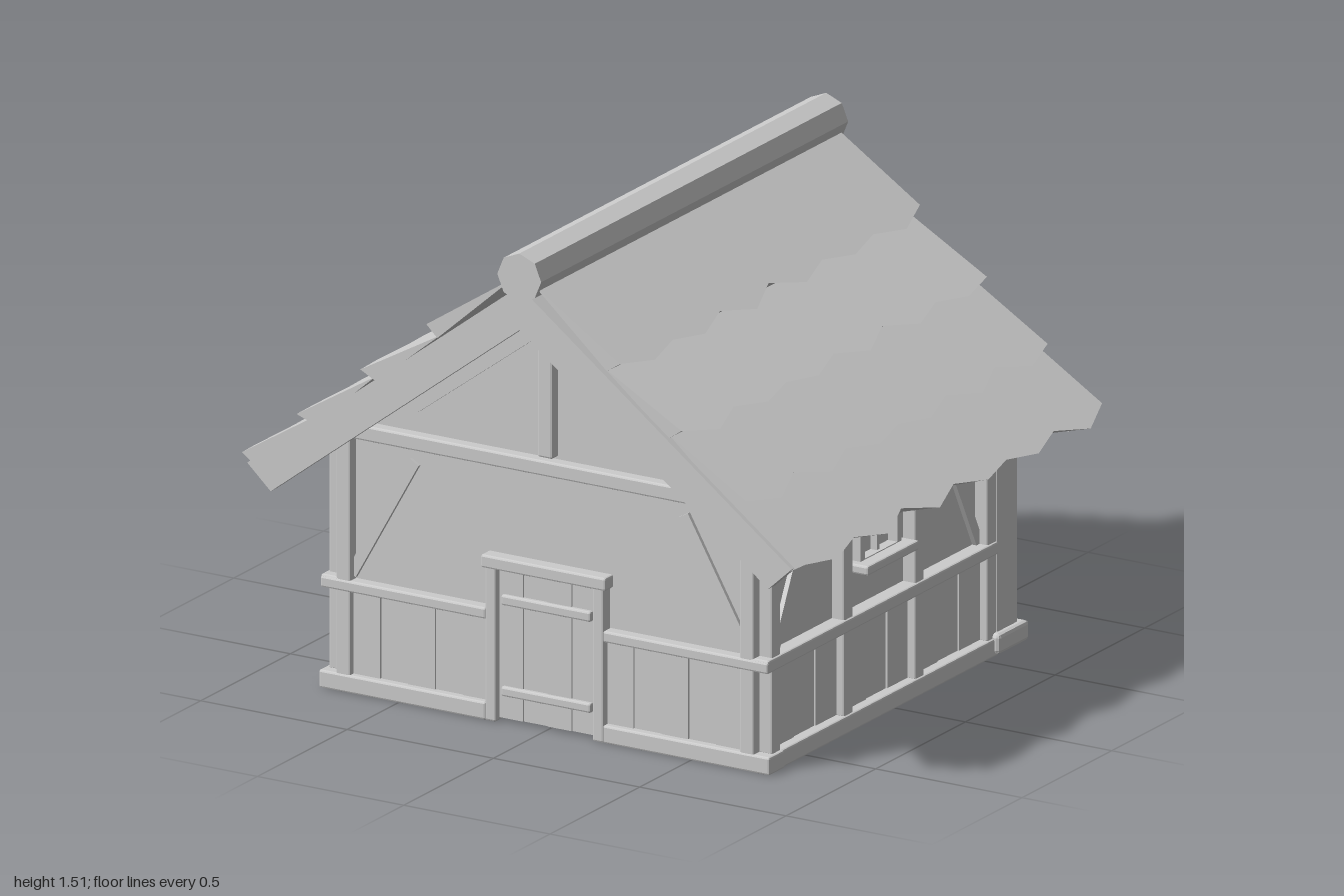
import * as THREE from 'three';
import { RoundedBoxGeometry } from 'three/addons/geometries/RoundedBoxGeometry.js';

const SLOPE = 0.76;

export function createModel() {
  const model = new THREE.Group();
  model.name = 'timberShed';
  const stone = new THREE.MeshStandardMaterial({ color: 0xcccccc, flatShading: true, side: THREE.DoubleSide });
  stone.name = 'pale grey';

  const add = (name, geometry, parent = model) => {
    const mesh = new THREE.Mesh(geometry, stone);
    mesh.name = name;
    parent.add(mesh);
    return mesh;
  };
  // Box given by its limits, with a small bevel
  const beam = (name, x0, x1, y0, y1, z0, z1, parent = model, bevel = 0.006) => {
    const w = x1 - x0, h = y1 - y0, d = z1 - z0;
    const geo = bevel ? new RoundedBoxGeometry(w, h, d, 1, bevel) : new THREE.BoxGeometry(w, h, d);
    const mesh = add(name, geo, parent);
    mesh.position.set((x0 + x1) / 2, (y0 + y1) / 2, (z0 + z1) / 2);
    return mesh;
  };
  // Slanted brace in the x-y plane
  const braceXY = (name, ax, ay, bx, by, width, z0, z1) => {
    const mesh = add(name, new THREE.BoxGeometry(width, Math.hypot(bx - ax, by - ay), z1 - z0));
    mesh.position.set((ax + bx) / 2, (ay + by) / 2, (z0 + z1) / 2);
    mesh.rotation.z = Math.atan2(ax - bx, by - ay);
  };
  // Slanted brace in the z-y plane
  const braceZY = (name, az, ay, bz, by, width, x0, x1, parent) => {
    const mesh = add(name, new THREE.BoxGeometry(x1 - x0, Math.hypot(bz - az, by - ay), width), parent);
    mesh.position.set((x0 + x1) / 2, (ay + by) / 2, (az + bz) / 2);
    mesh.rotation.x = Math.atan2(bz - az, by - ay);
  };
  const extrude = (name, points, z0, z1) => {
    const shape = new THREE.Shape(points.map(([x, y]) => new THREE.Vector2(x, y)));
    const geo = new THREE.ExtrudeGeometry(shape, { depth: z1 - z0, bevelEnabled: false });
    geo.translate(0, 0, z0);
    return add(name, geo);
  };

  // Front wall with gable
  extrude('frontWall', [[-0.715, 0.01], [0.715, 0.01], [0.715, 0.79], [0, 1.33], [-0.715, 0.79]], 0.62, 0.68);
  for (const s of [-1, 1]) {
    const span = (name, a, b, y0, y1, z0, z1, bevel) =>
      beam(name, Math.min(s * a, s * b), Math.max(s * a, s * b), y0, y1, z0, z1, model, bevel);
    span('frontSill', 0.2, 0.77, 0, 0.055, 0.63, 0.718);
    span('frontRail', 0.2, 0.765, 0.31, 0.345, 0.67, 0.718);
    span('frontCornerPost', 0.665, 0.715, 0.01, 0.785, 0.67, 0.714);
    span('doorPost', 0.165, 0.203, 0, 0.48, 0.67, 0.718);
    for (let i = 0; i < 5; i++) {
      const a = 0.2 + i * 0.0935;
      span('frontPlank', a, a + 0.0915, 0.05, 0.315, 0.67, i % 2 ? 0.691 : 0.695, 0);
    }
    braceXY('frontBrace', s * 0.46, 0.74, s * 0.675, 0.36, 0.035, 0.67, 0.692);
    braceXY('gableBrace', s * 0.02, 1.235, s * 0.455, 0.912, 0.035, 0.67, 0.695);
  }
  beam('gableTieBeam', -0.665, 0.665, 0.785, 0.832, 0.67, 0.718);
  beam('gableKingPost', -0.025, 0.025, 0.84, 1.29, 0.67, 0.714);

  // Door
  for (let i = 0; i < 4; i++) {
    const a = -0.165 + i * 0.0825;
    beam('doorPlank', a, a + 0.081, 0.01, 0.475, 0.67, i % 2 ? 0.694 : 0.697, model, 0);
  }
  beam('doorBatten', -0.153, 0.153, 0.36, 0.392, 0.68, 0.71);
  beam('doorBatten', -0.153, 0.153, 0.08, 0.11, 0.68, 0.71);
  beam('doorLintel', -0.213, 0.213, 0.47, 0.51, 0.67, 0.725);

  // Side walls, built on +x and mirrored for -x
  for (const s of [1, -1]) {
    const side = new THREE.Group();
    side.name = s > 0 ? 'leftSide' : 'rightSide';
    side.scale.x = s;
    model.add(side);
    beam('sideWall', 0.655, 0.715, 0.01, 0.79, -0.58, 0.68, side, 0);
    beam('sideSill', 0.64, 0.765, 0, 0.055, -0.57, 0.718, side);
    beam('sideRail', 0.7, 0.765, 0.31, 0.35, -0.57, 0.715, side);
    const posts = [[0.635, 0.682], [0.23, 0.28], [-0.167, -0.117], [-0.57, -0.52]];
    posts.forEach(([a, b]) => beam('sidePost', 0.7, 0.758, 0.05, 0.77, a, b, side));
    for (let i = 0; i < 3; i++) {
      const start = posts[i + 1][1], step = (posts[i][0] - start) / 3;
      for (let k = 0; k < 3; k++) {
        beam('sidePlank', 0.7, k % 2 ? 0.727 : 0.731, 0.05, 0.315,
          start + k * step, start + (k + 1) * step - 0.002, side, 0);
      }
    }
    braceZY('sideBrace', 0.615, 0.345, 0.43, 0.71, 0.035, 0.7, 0.73, side);
    braceZY('sideBrace', -0.525, 0.345, -0.335, 0.71, 0.035, 0.7, 0.73, side);
    // Heavy back post on its foot
    beam('backPost', 0.64, 0.76, 0.06, 0.8, -0.685, -0.568, side);
    beam('backPostFoot', 0.615, 0.782, 0.008, 0.07, -0.715, -0.545, side, 0.012);
    braceXY('backBrace', s * 0.66, 0.54, s * 0.44, 0.8, 0.055, -0.655, -0.6);
  }
  beam('backTieBeam', -0.68, 0.68, 0.745, 0.83, -0.67, -0.585);

  // Arched window, framed on both faces of the wall on +x
  const arch = (half, y0, spring) => {
    const p = new THREE.Path();
    p.moveTo(-half, y0);
    p.lineTo(half, y0);
    p.lineTo(half, spring);
    p.absellipse(0, spring, half, 0.07, 0, Math.PI, false);
    p.lineTo(-half, y0);
    return p;
  };
  const frameShape = new THREE.Shape([[-0.115, 0.49], [0.115, 0.49], [0.115, 0.74], [-0.115, 0.74]]
    .map(([x, y]) => new THREE.Vector2(x, y)));
  frameShape.holes.push(arch(0.09, 0.5, 0.64));
  for (const [x, depth] of [[0.712, 0.035], [0.643, 0.015]]) {
    const frame = add('windowFrame', new THREE.ExtrudeGeometry(frameShape, { depth, bevelEnabled: false, curveSegments: 8 }));
    frame.rotation.y = Math.PI / 2;
    frame.position.set(x, 0, 0.057);
    beam('windowMullion', x, x + depth * 0.7, 0.495, 0.71, 0.05, 0.064, model, 0);
    beam('windowBar', x, x + depth * 0.7, 0.6, 0.614, -0.035, 0.149, model, 0);
  }
  beam('windowSill', 0.7, 0.79, 0.468, 0.497, -0.087, 0.2);

  // Roof deck and the barge boards at both ends
  const chevron = (top, bottom, xTop, xBottom) => [
    [0, top], [xTop, top - SLOPE * xTop], [xBottom, bottom - SLOPE * xBottom],
    [0, bottom], [-xBottom, bottom - SLOPE * xBottom], [-xTop, top - SLOPE * xTop]];
  extrude('roofDeck', chevron(1.405, 1.326, 0.87, 0.87), -0.825, 0.825);
  extrude('frontBargeBoard', chevron(1.41, 1.275, 0.93, 0.85), 0.818, 0.855);
  extrude('backBargeBoard', chevron(1.41, 1.275, 0.93, 0.85), -0.855, -0.818);

  // Shingle row: upper edge, zigzag lower edge, and a straight line under the lip
  const shingleRow = ([tx, ty], [ex, ey], [lx, ly], seed) => {
    const n = 12, slope = (ty - ey) / (ex - tx), pos = [], idx = [];
    for (let i = 0; i <= n; i++) {
      const z = 0.84 - (1.68 * i) / n;
      const wobble = 0.008 * Math.sin(i * 2.3 + seed * 1.7);
      const inset = i % 2 ? Math.max(0, 0.004 + wobble * 0.5) : 0.04 + wobble;
      pos.push(tx, ty, z, ex - inset, ey + inset * slope, z, lx, ly, z);
      if (i < n) {
        for (let k = 0; k < 3; k++) {
          const a = i * 3 + k, b = i * 3 + (k + 1) % 3;
          idx.push(a, b, b + 3, a, b + 3, a + 3);
        }
      }
    }
    idx.push(0, 2, 1, n * 3, n * 3 + 1, n * 3 + 2);
    const geo = new THREE.BufferGeometry();
    geo.setAttribute('position', new THREE.Float32BufferAttribute(pos, 3));
    geo.setIndex(idx);
    geo.computeVertexNormals();
    return geo.toNonIndexed();
  };
  const rows = [
    [[0.03, 1.425], [0.375, 1.2], [0.29, 1.195]],
    [[0.28, 1.205], [0.592, 1.03], [0.5, 1.025]],
    [[0.5, 1.04], [0.803, 0.857], [0.71, 0.855]],
    [[0.7, 0.885], [1.0, 0.7], [0.87, 0.664]],
  ];
  for (const turn of [0, Math.PI]) {
    rows.forEach((r, i) => {
      const geo = shingleRow(...r, i + turn);
      geo.computeVertexNormals();
      add('shingleRow', geo).rotation.y = turn;
    });
  }

  // Ridge log
  const ridge = add('ridgeLog', new THREE.CylinderGeometry(0.075, 0.075, 1.712, 8));
  ridge.rotation.x = Math.PI / 2;
  ridge.position.y = 1.436;

  return model;
}
